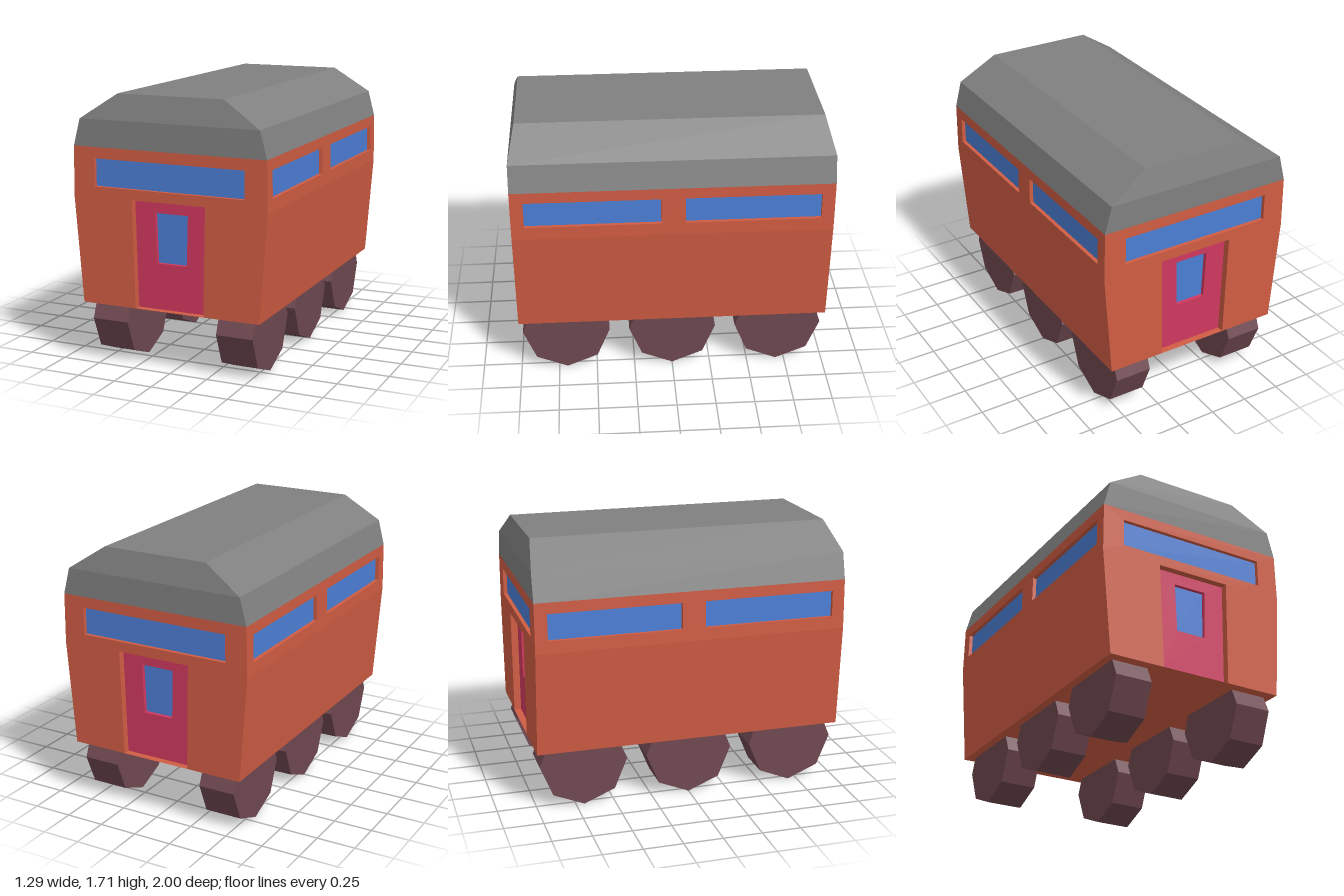
import * as THREE from 'three';

const mat = (color) => new THREE.MeshStandardMaterial({ color, flatShading: true, side: THREE.DoubleSide });

function mesh(name, geometry, material, parent) {
  const m = new THREE.Mesh(geometry, material);
  m.name = name;
  parent.add(m);
  return m;
}

function group(name, parent) {
  const g = new THREE.Group();
  g.name = name;
  parent.add(g);
  return g;
}

// Symmetric four-corner outline, counter-clockwise, centred on x = cx
const trapezoid = (bottomHalf, topHalf, y0, y1, cx = 0) => [
  [cx - bottomHalf, y0], [cx + bottomHalf, y0], [cx + topHalf, y1], [cx - topHalf, y1],
];

const toVectors = (pts) => pts.map(([x, y]) => new THREE.Vector2(x, y));

// Flat sheet facing +z, with optional openings
function sheet(pts, holes = []) {
  const shape = new THREE.Shape(toVectors(pts));
  shape.holes = holes.map((h) => new THREE.Path(toVectors(h)));
  return new THREE.ShapeGeometry(shape);
}

function fromPositions(positions) {
  const g = new THREE.BufferGeometry();
  g.setAttribute('position', new THREE.Float32BufferAttribute(positions, 3));
  g.computeVertexNormals();
  return g;
}

// Inner walls of an opening, running back from z = 0 by depth
function reveal(pts, depth) {
  const p = [];
  pts.forEach((a, i) => {
    const b = pts[(i + 1) % pts.length];
    p.push(...a, 0, ...b, 0, ...b, -depth, ...a, 0, ...b, -depth, ...a, -depth);
  });
  return fromPositions(p);
}

// Stacked rectangles [half width, y, half length] joined into a capped hull
function rectangleLoft(layers) {
  const rings = layers.map(([x, y, z]) => [[-x, y, z], [x, y, z], [x, y, -z], [-x, y, -z]]);
  const p = [];
  const quad = (a, b, c, d) => p.push(...a, ...b, ...c, ...a, ...c, ...d);
  for (let i = 0; i < rings.length - 1; i++) {
    for (let k = 0; k < 4; k++) {
      const n = (k + 1) % 4;
      quad(rings[i][k], rings[i][n], rings[i + 1][n], rings[i + 1][k]);
    }
  }
  quad(...rings[rings.length - 1]);
  return fromPositions(p);
}

export function createModel() {
  const model = new THREE.Group();
  model.name = 'railCarriage';
  const orange = mat(0xcf5c43), glass = mat(0x4b7dd4), pink = mat(0xcf385f);
  const grey = mat(0x808080), brown = mat(0x6f4850);

  // Half widths of the body at the floor, the waist and the eaves
  const FLOOR = [0.595, 0.39], WAIST = [0.645, 1.06], EAVES = [0.64, 1.38];
  const windowDepth = 0.025, doorDepth = 0.045;

  function addWindow(name, pts, frameMaterial, parent) {
    mesh(name + 'Frame', reveal(pts, windowDepth), frameMaterial, parent);
    mesh(name, sheet(pts), glass, parent).position.z = -windowDepth;
  }

  // Roof with sloped shoulders and slightly hipped ends
  mesh('roof', rectangleLoft([[...EAVES, 1], [0.595, 1.55, 1], [0.35, 1.71, 0.96]]), grey, model);

  // Underside
  const floor = mesh('floor', new THREE.PlaneGeometry(FLOOR[0] * 2, 2), orange, model);
  floor.rotation.x = Math.PI / 2;
  floor.position.y = FLOOR[1];

  // End walls: wide window above a recessed door
  const door = trapezoid(0.23, 0.245, FLOOR[1], 1.07);
  const doorWindow = trapezoid(0.1, 0.11, 0.68, 0.995);
  const endWindow = trapezoid(0.5, 0.5, 1.135, 1.31);
  const [dl, dr, dtr, dtl] = door;
  const mirrored = ([x, y]) => [-x, y];
  const endOutline = [
    mirrored(FLOOR), dl, dtl, dtr, dr, FLOOR, WAIST, EAVES, mirrored(EAVES), mirrored(WAIST),
  ];
  for (const [name, angle] of [['front', 0], ['back', Math.PI]]) {
    const turn = group(name + 'End', model);
    turn.rotation.y = angle;
    const wall = group(name + 'Wall', turn);
    wall.position.z = 1;
    mesh('endWall', sheet(endOutline, [endWindow]), orange, wall);
    addWindow('endWindow', endWindow, orange, wall);
    mesh('doorFrame', reveal(door, doorDepth), orange, wall);
    const leaf = group('doorLeaf', wall);
    leaf.position.z = -doorDepth;
    mesh('door', sheet(door, [doorWindow]), pink, leaf);
    addWindow('doorWindow', doorWindow, pink, leaf);
  }

  // Side walls: plain flared panel below, two windows in the band above
  const rise = EAVES[1] - WAIST[1], lean = WAIST[0] - EAVES[0];
  const sideWindows = [-1, 1].map((s) => trapezoid(0.4225, 0.4225, 0.08, 0.25, s * 0.4975));
  for (const [name, s] of [['left', 1], ['right', -1]]) {
    const side = group(name + 'Side', model);
    side.rotation.y = s * Math.PI / 2;

    const lower = group('lowerSide', side);
    lower.position.set(0, FLOOR[1], FLOOR[0]);
    const out = WAIST[0] - FLOOR[0], up = WAIST[1] - FLOOR[1];
    lower.rotation.x = Math.atan2(out, up);
    mesh('lowerWall', sheet(trapezoid(1, 1, 0, Math.hypot(out, up))), orange, lower);

    const upper = group('upperSide', side);
    upper.position.set(0, WAIST[1], WAIST[0]);
    upper.rotation.x = -Math.atan2(lean, rise);
    mesh('upperWall', sheet(trapezoid(1, 1, 0, Math.hypot(lean, rise)), sideWindows), orange, upper);
    sideWindows.forEach((w) => addWindow('sideWindow', w, orange, upper));
  }

  // Six octagonal wheels, each standing on a corner
  const wheelGeometry = new THREE.CylinderGeometry(0.283, 0.283, 0.24, 8).rotateZ(Math.PI / 2);
  for (const x of [-0.423, 0.423]) {
    for (const z of [-0.695, 0, 0.695]) {
      mesh('wheel', wheelGeometry, brown, model).position.set(x, 0.283, z);
    }
  }
  return model;
}
